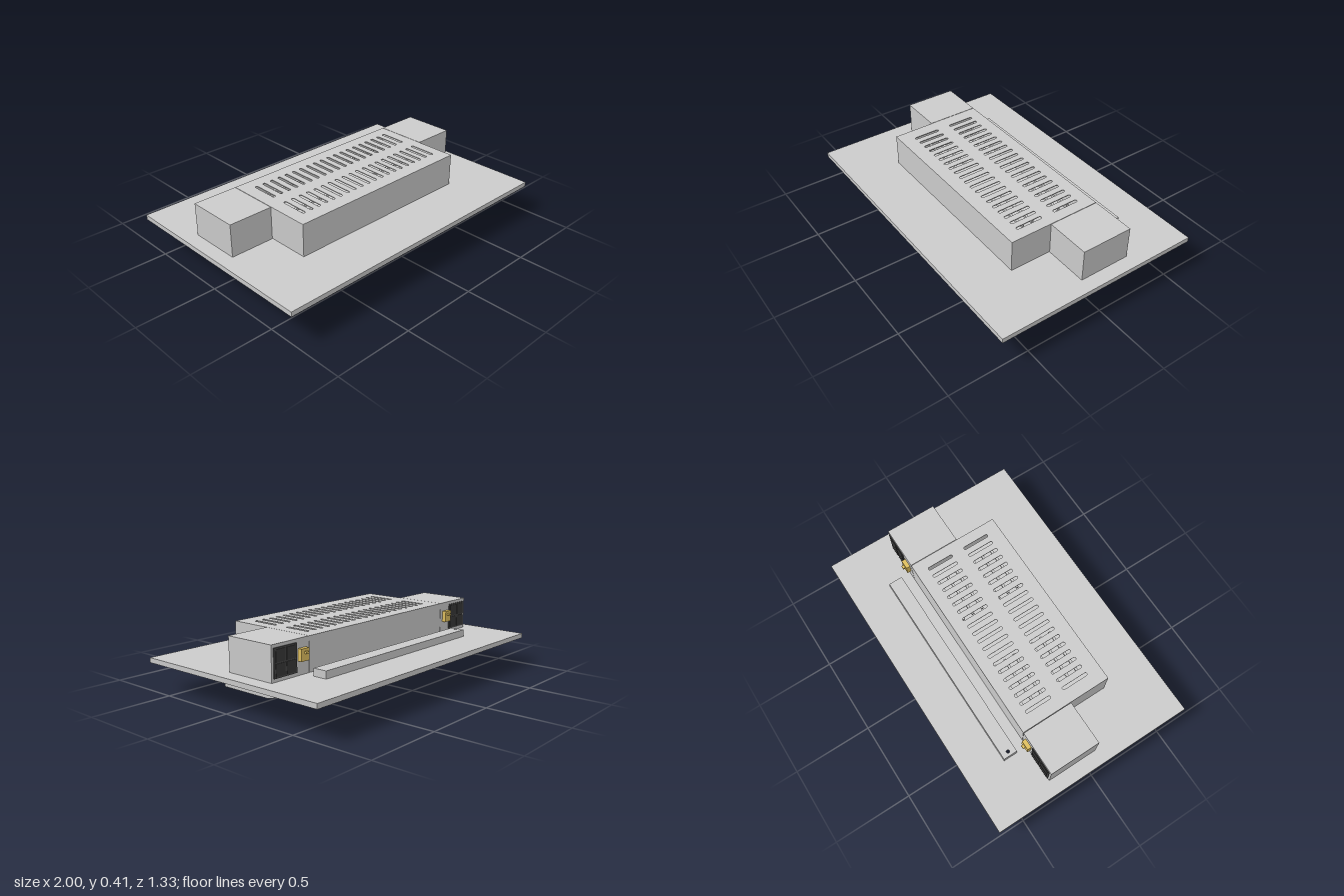
import * as THREE from 'three';

const grey = new THREE.MeshStandardMaterial({ color: 0xcccccc });
const dark = new THREE.MeshStandardMaterial({ color: 0x484848 });
const black = new THREE.MeshStandardMaterial({ color: 0x383838 });
const brass = new THREE.MeshStandardMaterial({ color: 0xe0c060 });
const T = 0.005; // sheet thickness

function add(parent, name, geometry, material = grey) {
  const mesh = new THREE.Mesh(geometry, material);
  mesh.name = name;
  parent.add(mesh);
  return mesh;
}

// Box given by its limits on each axis
function block(parent, name, x0, x1, y0, y1, z0, z1, material = grey) {
  const g = new THREE.BoxGeometry(x1 - x0, y1 - y0, z1 - z0);
  g.translate((x0 + x1) / 2, (y0 + y1) / 2, (z0 + z1) / 2);
  return add(parent, name, g, material);
}

function corners(x0, x1, z0, z1) {
  return [[x0, -z1], [x1, -z1], [x1, -z0], [x0, -z0]].map(p => new THREE.Vector2(...p));
}

// Horizontal sheet with holes, its top face at the given height
function sheet(parent, name, x0, x1, z0, z1, top, holes = []) {
  const s = new THREE.Shape(corners(x0, x1, z0, z1));
  s.holes.push(...holes);
  const g = new THREE.ExtrudeGeometry(s, { depth: T, bevelEnabled: false, curveSegments: 10 });
  g.rotateX(-Math.PI / 2).translate(0, top - T, 0);
  return add(parent, name, g);
}

// Four thin upright walls
function walls(parent, name, x0, x1, y0, y1, z0, z1) {
  block(parent, name + 'Front', x0, x1, y0, y1, z1 - T, z1);
  block(parent, name + 'Back', x0, x1, y0, y1, z0, z0 + T);
  block(parent, name + 'Right', x0, x0 + T, y0, y1, z0 + T, z1 - T);
  block(parent, name + 'Left', x1 - T, x1, y0, y1, z0 + T, z1 - T);
}

// Rounded slot running along z
function slot(x, z0, z1, r) {
  const p = new THREE.Path();
  p.absarc(x, -z0 - r, r, 0, Math.PI, false);
  p.absarc(x, -z1 + r, r, Math.PI, Math.PI * 2, false);
  p.closePath();
  return p;
}

function createModel() {
  const model = new THREE.Group();
  model.name = 'ventilationUnit';

  // Mounting plate with a folded rim, cut open below the cable channel
  const plate = new THREE.Group();
  plate.name = 'mountingPlate';
  model.add(plate);
  const cutout = new THREE.Path(corners(-0.662, 0.66, -0.415, -0.335));
  sheet(plate, 'plateSheet', -1, 1, -0.667, 0.667, 0.2, [cutout]);
  walls(plate, 'plateRim', -1, 1, 0.17, 0.195, -0.667, 0.667);

  // Open-bottomed hood under the plate
  const hood = new THREE.Group();
  hood.name = 'lowerHood';
  model.add(hood);
  const side = new THREE.Shape();
  side.moveTo(0.403, 0);
  side.lineTo(0.403, 0.168);
  side.lineTo(-0.324, 0.168);
  side.lineTo(-0.324, 0.115);
  side.quadraticCurveTo(-0.324, 0.084, -0.292, 0.077);
  side.lineTo(0.035, 0);
  side.closePath();
  for (const x of [-0.66, 0.665]) {
    const g = new THREE.ExtrudeGeometry(side, { depth: T, bevelEnabled: false, curveSegments: 8 });
    g.rotateY(-Math.PI / 2).translate(x, 0, 0);
    add(hood, 'hoodSide', g);
  }
  sheet(hood, 'hoodTop', -0.66, 0.66, -0.324, 0.398, 0.168);
  block(hood, 'hoodFront', -0.66, 0.66, 0, 0.168, 0.398, 0.403);
  block(hood, 'hoodBackLip', -0.66, 0.66, 0.147, 0.163, -0.324, -0.319);

  // Flat panel set inside the hood
  block(hood, 'innerPanel', -0.66, 0.66, 0.14, 0.147, -0.29, 0.398);
  for (const x of [-0.05, 0.04]) {
    for (const z of [-0.03, 0.1]) block(hood, 'hoodSpacer', x - 0.01, x + 0.01, 0.168, 0.195, z - 0.01, z + 0.01);
  }

  // Main housing with two rows of vent slots
  const housing = new THREE.Group();
  housing.name = 'mainHousing';
  model.add(housing);
  const slots = [];
  for (let i = 0; i < 20; i++) {
    const x = -0.533 + i * 0.0568;
    slots.push(slot(x, -0.185, -0.012, 0.0095), slot(x, 0.073, 0.246, 0.0095));
  }
  sheet(housing, 'ventedTop', -0.625, 0.625, -0.262, 0.335, 0.405, slots);
  walls(housing, 'housingWall', -0.625, 0.625, 0.2, 0.4, -0.262, 0.335);

  // Inner rails seen through the slots
  for (const x of [-0.34, 0.33]) {
    for (const row of [-0.1, 0.157]) {
      for (const dz of [-0.067, 0, 0.067]) {
        block(housing, 'innerRail', x - 0.16, x + 0.16, 0.33, 0.345, row + dz - 0.008, row + dz + 0.008);
      }
    }
  }

  // Mirrored side boxes with socket panel and brass connector on the back
  for (const s of [-1, 1]) {
    const box = new THREE.Group();
    box.name = s > 0 ? 'leftSideBox' : 'rightSideBox';
    model.add(box);
    const b = (name, a, c, ...rest) => block(box, name, Math.min(s * a, s * c), Math.max(s * a, s * c), ...rest);
    b('sideBoxShell', 0.628, 0.909, 0.2, 0.405, -0.262, 0.068);
    b('socketPanel', 0.725, 0.894, 0.22, 0.386, -0.267, -0.262, dark);
    for (const x of [0.734, 0.814]) {
      for (const y of [0.229, 0.307]) b('socket', x, x + 0.069, y, y + 0.07, -0.27, -0.267, black);
    }
    b('connectorBody', 0.652, 0.712, 0.28, 0.35, -0.288, -0.262, brass);
    b('connectorTip', 0.668, 0.69, 0.322, 0.334, -0.304, -0.288, brass);
  }

  // Cable channel along the back with a round cable hole
  const channel = new THREE.Group();
  channel.name = 'cableChannel';
  model.add(channel);
  const cableHole = new THREE.Path().absarc(-0.641, 0.376, 0.01, 0, Math.PI * 2, true);
  sheet(channel, 'channelTop', -0.668, 0.665, -0.42, -0.33, 0.245, [cableHole]);
  walls(channel, 'channelWall', -0.668, 0.665, 0.2, 0.24, -0.42, -0.33);

  return model;
}

export { createModel };
